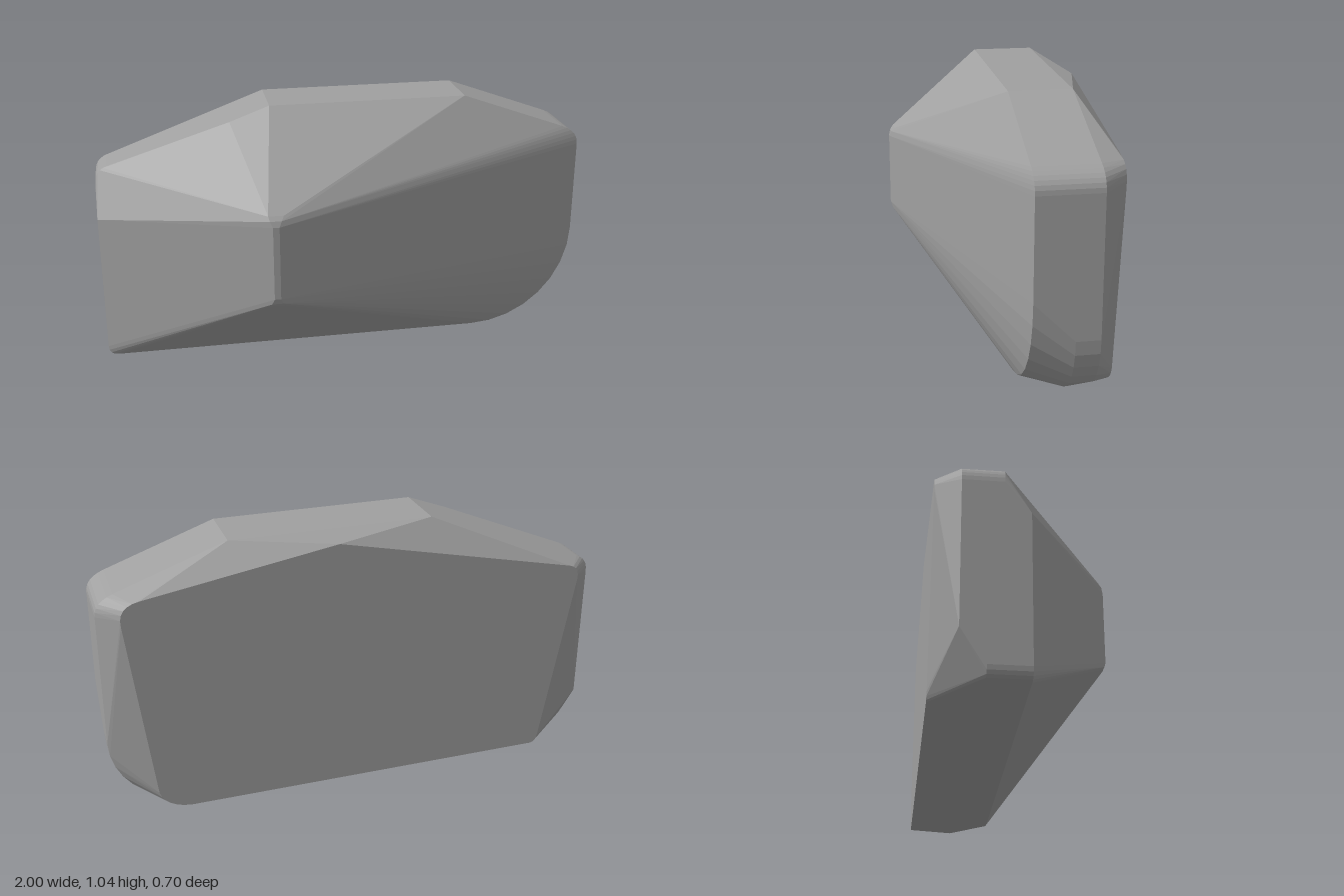
import * as THREE from 'three';
import { ConvexGeometry } from 'three/addons/geometries/ConvexGeometry.js';

// Points of a rounded corner: a curve from a to b pulled towards the corner c
function corner(a, c, b, n = 6) {
  const curve = new THREE.QuadraticBezierCurve(
    new THREE.Vector2(...a), new THREE.Vector2(...c), new THREE.Vector2(...b));
  return curve.getPoints(n).map((p) => [p.x, p.y]);
}

// Points of a quarter circle in the lower right corner (x = 1, y = 0)
function lowerRightArc(r, n = 8, minY = 0) {
  const pts = [];
  for (let i = 0; i <= n; i++) {
    const a = (i / n) * Math.PI / 2;
    const y = r - r * Math.cos(a);
    if (y >= minY) pts.push([1 - r + r * Math.sin(a), y]);
  }
  return pts;
}

export function createModel() {
  const group = new THREE.Group();
  group.name = 'facetedBlock';
  const grey = new THREE.MeshStandardMaterial({ color: 0xa0a0a0 });
  grey.name = 'grey';

  const topRight = corner([1, 0.81], [1, 0.865], [0.93, 0.891]);
  const topLeft = corner([-0.95, 0.803], [-1, 0.785], [-1, 0.73]);
  const bottomLeft = corner([-1, 0.04], [-1, 0], [-0.96, 0], 4);
  const ridge = [[0.5, 1.045], [-0.3, 1.045]];

  // Cross-sections from front to back, each at one depth
  const sections = [
    // narrow upright nose
    [0.35, [[-0.34, 0.375], [-0.315, 0.375], [-0.315, 0.675], [-0.34, 0.675]]],
    [0.343, [[-0.35, 0.352], [-0.305, 0.352], [-0.305, 0.698], [-0.35, 0.698]]],
    [0.33, [[-0.355, 0.338], [-0.295, 0.338], [-0.295, 0.715], [-0.355, 0.715]]],
    // front rim, its upper left corner cut away
    [-0.02, [...lowerRightArc(0.43), ...topRight, ...ridge,
      [-0.46, 0.986], [-1, 0.61], ...bottomLeft]],
    [-0.11, topLeft],
    // middle of the side wall, with a tighter lower right corner
    [-0.17, [...lowerRightArc(0.28), ...bottomLeft]],
    // rear rim
    [-0.26, [...lowerRightArc(0.28, 8, 0.07), ...topRight, ...ridge, ...topLeft, [-1, 0.17]]],
    // flat back
    [-0.35, [
      ...corner([0.83, 0.08], [0.81, 0.01], [0.71, 0]),
      ...corner([0.92, 0.80], [0.93, 0.875], [0.85, 0.889]),
      [0.1, 1.015],
      ...corner([-0.87, 0.803], [-0.925, 0.79], [-0.905, 0.72]),
      ...corner([-0.79, 0.05], [-0.785, 0.005], [-0.76, 0], 4),
    ]],
  ];

  // One convex skin around all the sections
  const points = sections.flatMap(([z, outline]) =>
    outline.map(([x, y]) => new THREE.Vector3(x, y, z)));
  const body = new THREE.Mesh(new ConvexGeometry(points), grey);
  body.name = 'body';
  group.add(body);
  return group;
}
